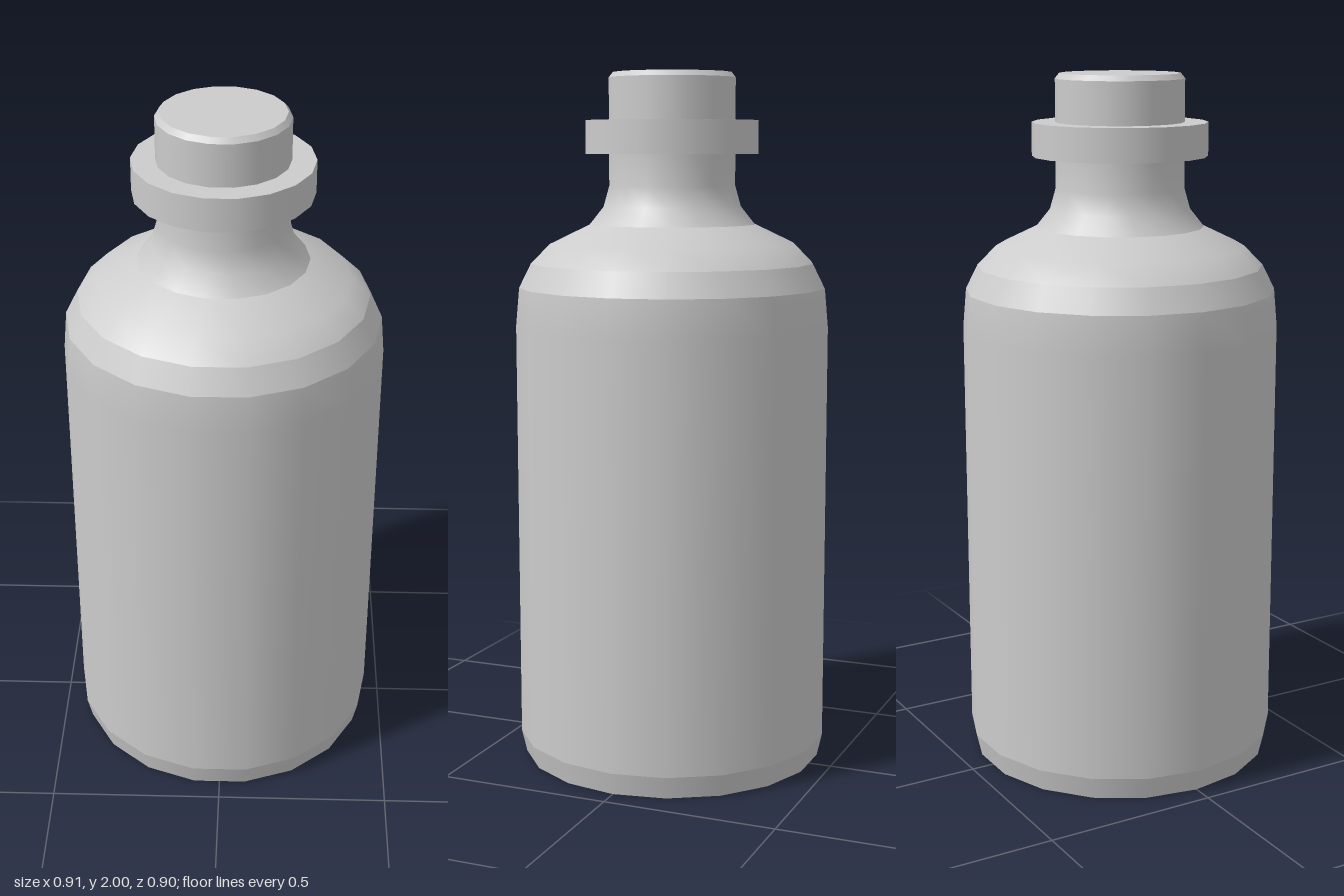
import * as THREE from 'three';

const SIDES = 18;

// Turns each profile section (bottom to top) on its own, so edges between sections stay sharp
function turned(name, sections, material) {
  const part = new THREE.Group();
  part.name = name;
  sections.forEach((points, i) => {
    const profile = points.map(([r, y]) => new THREE.Vector2(r, y));
    const mesh = new THREE.Mesh(new THREE.LatheGeometry(profile, SIDES, Math.PI / 2), material);
    mesh.name = `${name}Section${i + 1}`;
    part.add(mesh);
  });
  return part;
}

export function createModel() {
  const model = new THREE.Group();
  model.name = 'bottle';
  const grey = new THREE.MeshStandardMaterial({ color: 0xcccccc });

  // Base, straight wall, rounded shoulder and flared neck
  model.add(turned('body', [
    [[0, 0], [0.44, 0]],
    [[0.44, 0], [0.455, 0.065]],
    [[0.455, 0.065], [0.455, 1.28], [0.445, 1.39]],
    [[0.445, 1.39], [0.41, 1.46]],
    [[0.41, 1.46], [0.355, 1.515], [0.24, 1.57]],
    [[0.24, 1.57], [0.2, 1.62], [0.183, 1.68], [0.183, 1.77]],
  ], grey));

  // Wide ring around the mouth
  model.add(turned('lip', [
    [[0.183, 1.77], [0.25, 1.77]],
    [[0.25, 1.77], [0.25, 1.865]],
    [[0.25, 1.865], [0.183, 1.865]],
  ], grey));

  // Stopper with a small bevel
  model.add(turned('stopper', [
    [[0.183, 1.865], [0.183, 1.985]],
    [[0.183, 1.985], [0.171, 2]],
    [[0.171, 2], [0, 2]],
  ], grey));

  return model;
}
